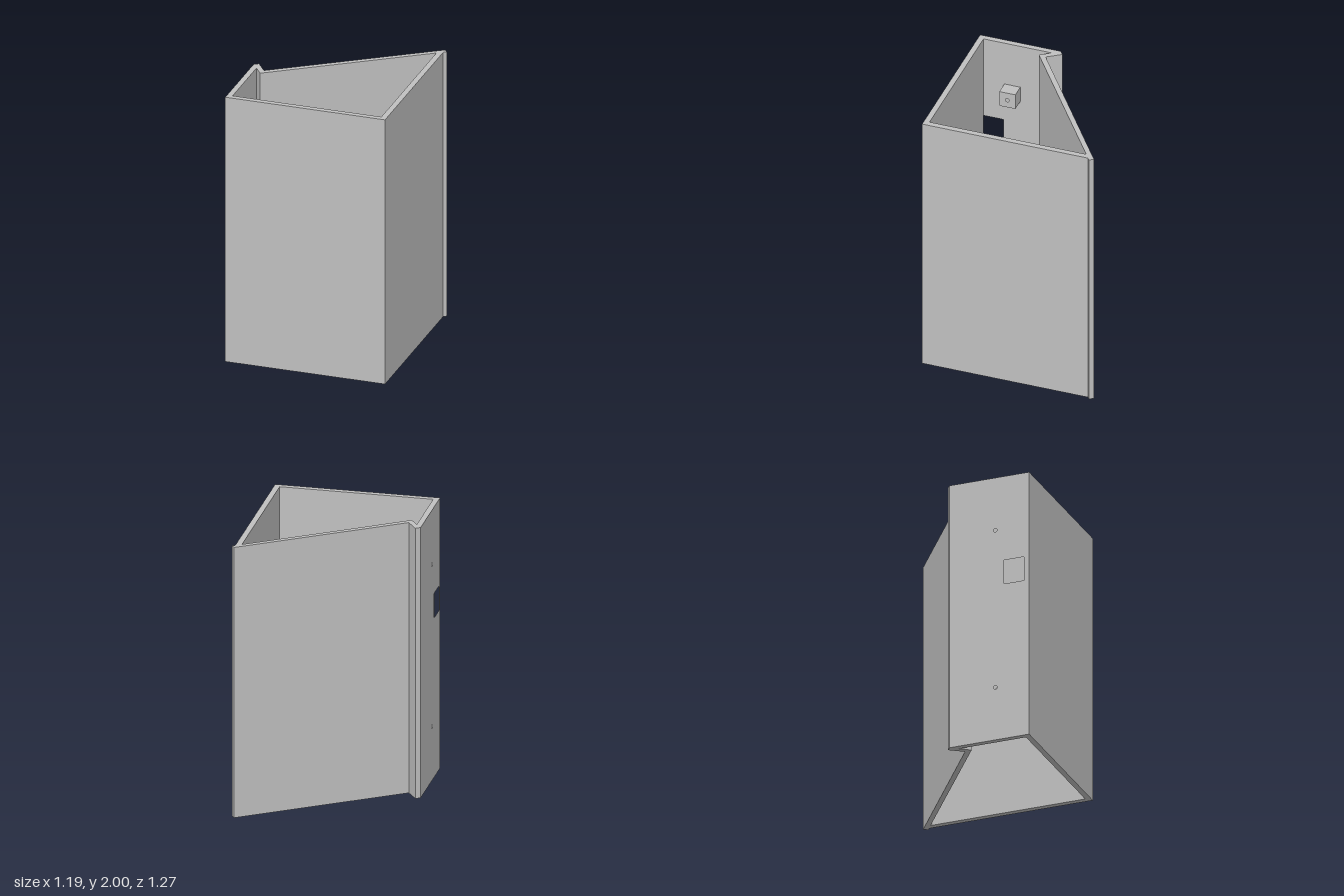
import * as THREE from 'three';

const H = 2;
const X0 = -0.597, X1 = -0.557; // outer and inner faces of the side panel
const BOLT_Z = 0.38, BOLT_R = 0.014, BOLT_Y = [0.4, 1.6];

// circular bolt hole in a (z, y) outline
function boltHole(y) {
  return new THREE.Path().absarc(-BOLT_Z, y, BOLT_R, 0, Math.PI * 2, true);
}

// rectangle in the (-z, y) plane
function rect(T, z0, z1, y0, y1) {
  return new T([[-z0, y0], [-z1, y0], [-z1, y1], [-z0, y1]].map((p) => new THREE.Vector2(...p)));
}

// extrude a (-z, y) outline along x from x0 to x1
function alongX(shape, x0, x1) {
  return new THREE.ExtrudeGeometry(shape, { depth: x1 - x0, bevelEnabled: false, curveSegments: 8 })
    .rotateY(Math.PI / 2)
    .translate(x0, 0, 0);
}

export function createModel() {
  const group = new THREE.Group();
  const grey = new THREE.MeshStandardMaterial({ color: 0xc0c0c0 });
  grey.name = 'plain grey';

  const add = (name, geometry) => {
    const mesh = new THREE.Mesh(geometry, grey);
    mesh.name = name;
    group.add(mesh);
  };

  // plan of the front, right and slanted walls, as (x, z) corners
  const plan = [
    [X1, 0.632], [0.574, 0.632], [0.574, -0.589], [0.595, -0.604], [0.572, -0.633],
    [-0.495, 0.112], [-0.565, 0.013], [X0, 0.037], [X0, 0.09], [X1, 0.09],
    [-0.504, 0.165], [0.533, -0.562], [0.533, 0.592], [X1, 0.592],
  ];
  const walls = new THREE.Shape(plan.map(([x, z]) => new THREE.Vector2(x, -z)));
  add('walls', new THREE.ExtrudeGeometry(walls, { depth: H, bevelEnabled: false }).rotateX(-Math.PI / 2));

  // side panel with a rectangular opening and two bolt holes
  const panel = rect(THREE.Shape, 0.09, 0.632, 0, H);
  panel.holes.push(rect(THREE.Path, 0.445, 0.592, 1.18, 1.36), ...BOLT_Y.map(boltHole));
  add('sidePanel', alongX(panel, X0, X1));

  // drilled mounting blocks on the inside of the panel
  for (const y of BOLT_Y) {
    const block = rect(THREE.Shape, BOLT_Z - 0.059, BOLT_Z + 0.059, y - 0.059, y + 0.059);
    block.holes.push(boltHole(y));
    add('mountingBlock', alongX(block, X1, -0.457));
  }

  return group;
}
